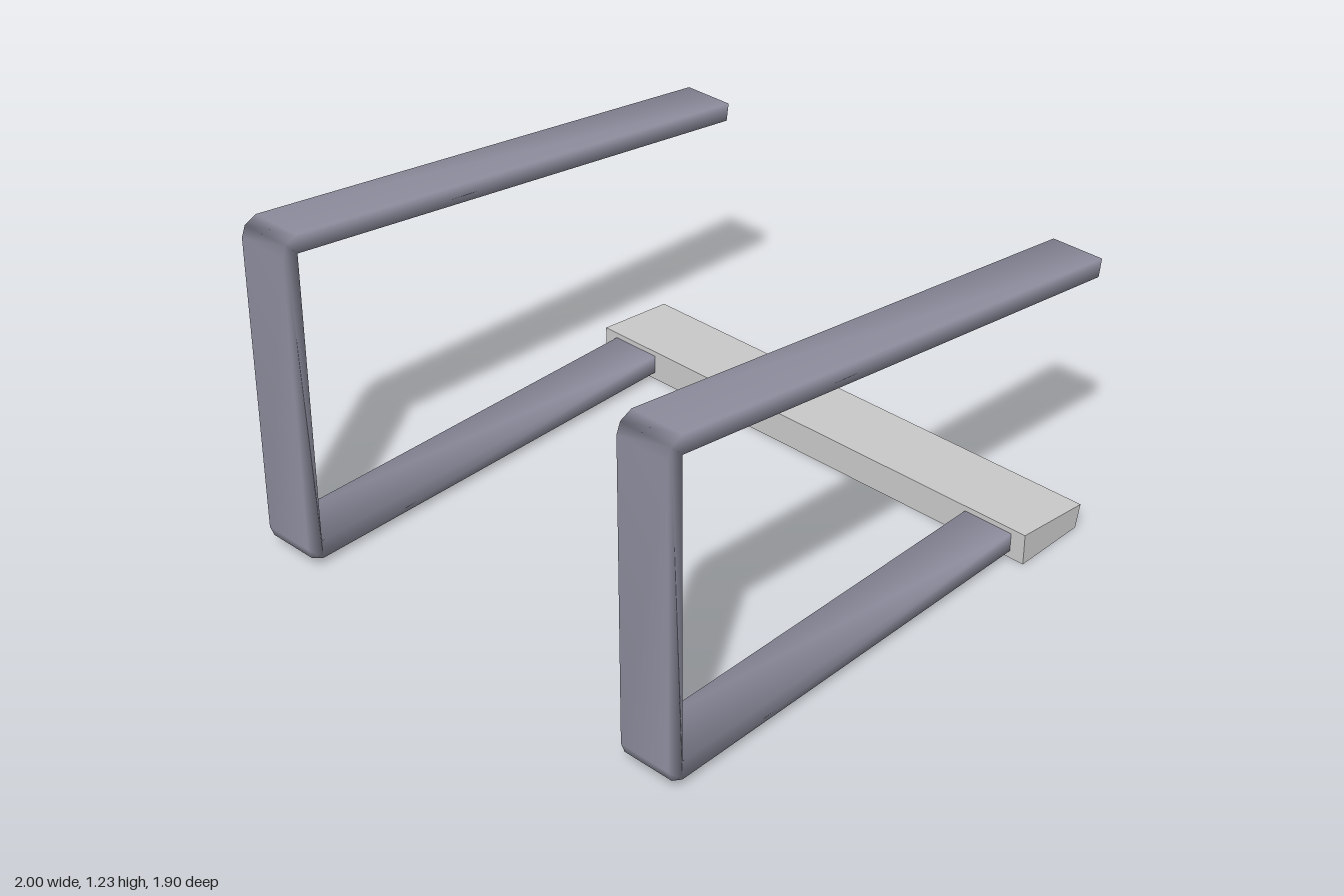
import * as THREE from 'three';
import { mergeVertices } from 'three/addons/utils/BufferGeometryUtils.js';

// Extrude an xy outline along z, centred on z = 0
function slab(points, depth) {
  const shape = new THREE.Shape(points.map(([x, y]) => new THREE.Vector2(x, y)));
  const geometry = new THREE.ExtrudeGeometry(shape, { depth, bevelEnabled: false });
  return geometry.translate(0, 0, -depth / 2);
}

// Share corners between faces so the shading is soft
function soften(geometry) {
  geometry.deleteAttribute('normal');
  geometry.deleteAttribute('uv');
  const merged = mergeVertices(geometry, 1e-4);
  merged.computeVertexNormals();
  return merged;
}

export function createModel() {
  const group = new THREE.Group();
  const frameMaterial = new THREE.MeshStandardMaterial({ color: 0x8e8e9f });
  const barMaterial = new THREE.MeshStandardMaterial({ color: 0xcccccc });

  // Side frames: lower rail, upright and sloping arm with clipped outer corners
  const frameGeometry = soften(slab([
    [0.63, 0.027], [-0.94, 0.027], [-0.985, 0.05], [-1, 0.09],
    [-1, 1.17], [-0.985, 1.208], [-0.94, 1.228],
    [1, 0.965], [0.99, 0.902],
    [-0.94, 1.163], [-0.94, 0.095], [0.63, 0.095],
  ], 0.19));
  for (const [name, z] of [['frontSideFrame', 0.8], ['backSideFrame', -0.8]]) {
    const frame = new THREE.Mesh(frameGeometry, frameMaterial);
    frame.name = name;
    frame.position.z = z;
    group.add(frame);
  }

  // Wedge-shaped cross bar joining the lower rails
  const bar = new THREE.Mesh(
    slab([[0.62, 0], [0.905, 0], [0.925, 0.083], [0.62, 0.114]], 1.9), barMaterial);
  bar.name = 'crossBar';
  group.add(bar);

  return group;
}
